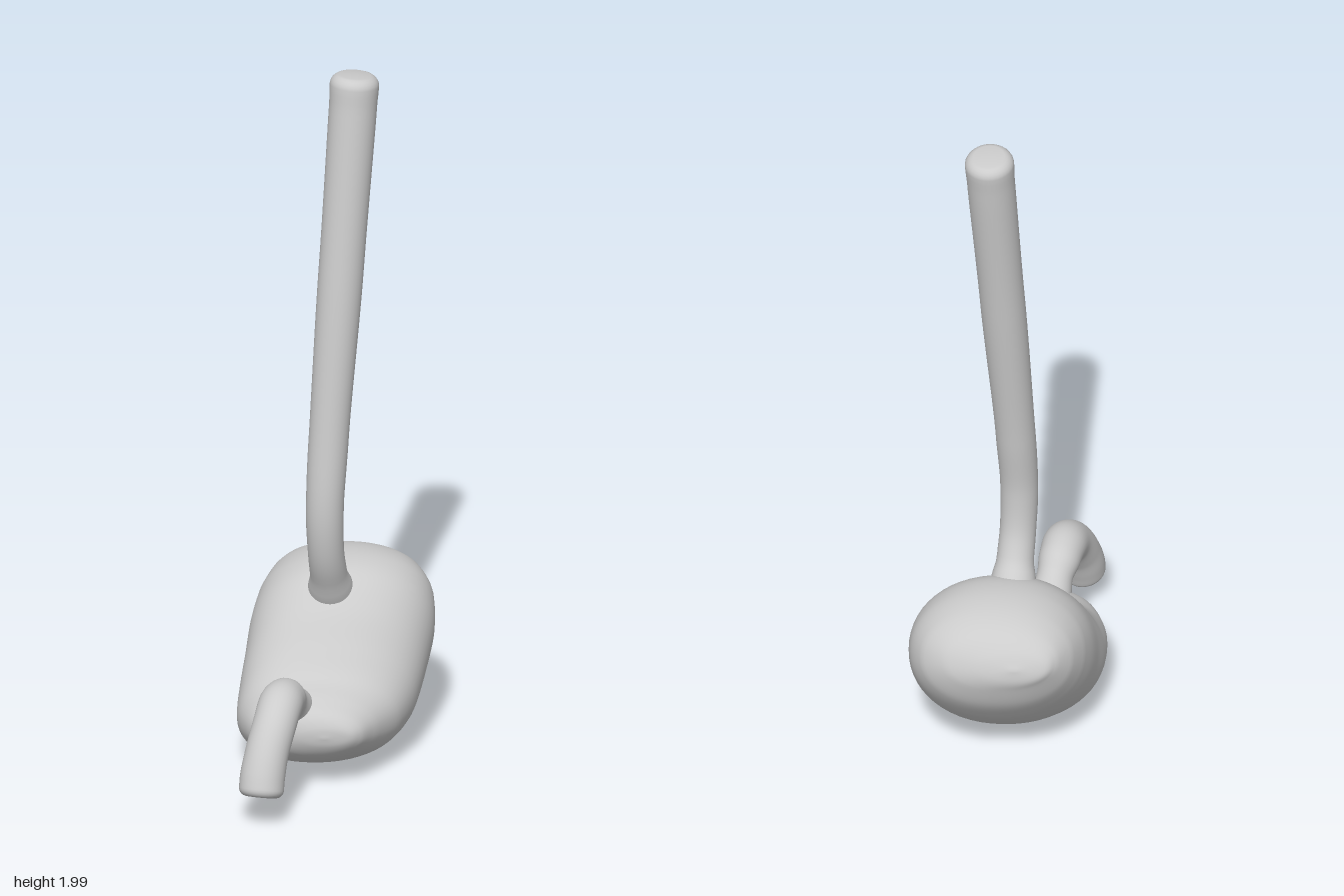
import * as THREE from 'three';
import { mergeVertices } from 'three/addons/utils/BufferGeometryUtils.js';

const V = (x, y, z) => new THREE.Vector3(x, y, z);
const material = new THREE.MeshStandardMaterial({ color: 0xcccccc });

// Skin a list of closed rings (equal point counts) with smooth normals
function skin(name, rings) {
  const m = rings[0].length, index = [];
  for (let i = 0; i < rings.length - 1; i++) {
    for (let j = 0; j < m; j++) {
      const a = i * m + j, b = i * m + (j + 1) % m;
      index.push(a, b, a + m, b, b + m, a + m);
    }
  }
  let g = new THREE.BufferGeometry().setFromPoints(rings.flat());
  g.setIndex(index);
  g = mergeVertices(g, 1e-5);
  g.computeVertexNormals();
  const mesh = new THREE.Mesh(g, material);
  mesh.name = name;
  return mesh;
}

// Tube of varying radius with a rounded, slightly domed far end; keys are [x, y, z, radius]
function organTube(name, keys, steps, bevel, sides = 32) {
  const curve = new THREE.CatmullRomCurve3(keys.map(k => V(k[0], k[1], k[2])));
  const frames = curve.computeFrenetFrames(steps);
  const rings = [];
  const ring = (p, r, i) => {
    const pts = [];
    for (let j = 0; j < sides; j++) {
      const a = j / sides * Math.PI * 2;
      pts.push(p.clone()
        .addScaledVector(frames.normals[i], r * Math.cos(a))
        .addScaledVector(frames.binormals[i], r * Math.sin(a)));
    }
    rings.push(pts);
  };
  for (let i = 0; i <= steps; i++) {
    const t = curve.getUtoTmapping(i / steps), s = t * (keys.length - 1);
    const k = Math.min(Math.floor(s), keys.length - 2);
    const r = THREE.MathUtils.lerp(keys[k][3], keys[k + 1][3], THREE.MathUtils.smoothstep(s - k, 0, 1));
    ring(curve.getPoint(t), r, i);
  }
  // rounded rim, then the closed end
  const end = curve.getPoint(1), dir = frames.tangents[steps], r = keys[keys.length - 1][3];
  for (let q = 1; q <= 5; q++) {
    const a = q / 5 * 1.4;
    ring(end.clone().addScaledVector(dir, bevel * Math.sin(a)), r - bevel + bevel * Math.cos(a), steps);
  }
  ring(end.clone().addScaledVector(dir, bevel * 1.08), 0, steps);
  return skin(name, rings);
}

// Pouch lofted from tilted sections: [upper z, upper y, lower z, lower y, min x, max x]
function pouch() {
  const keys = [
    [0.202, 0.175, 0.202, 0.175, -0.03, -0.03],
    [0.198, 0.205, 0.195, 0.145, -0.10, 0.04],
    [0.18, 0.235, 0.17, 0.108, -0.175, 0.075],
    [0.13, 0.265, 0.11, 0.065, -0.24, 0.115],
    [0.06, 0.295, 0.0, 0.02, -0.27, 0.175],
    [0.0, 0.36, -0.12, 0.01, -0.266, 0.22],
    [-0.07, 0.45, -0.22, 0.06, -0.25, 0.25],
    [-0.15, 0.515, -0.31, 0.13, -0.235, 0.27],
    [-0.23, 0.535, -0.38, 0.21, -0.213, 0.267],
    [-0.32, 0.53, -0.43, 0.28, -0.18, 0.235],
    [-0.39, 0.505, -0.457, 0.35, -0.14, 0.17],
    [-0.435, 0.467, -0.466, 0.385, -0.105, 0.08],
    [-0.462, 0.425, -0.462, 0.425, -0.02, -0.02],
  ];
  const upper = new THREE.CatmullRomCurve3(keys.map(k => V(0, k[1], k[0])));
  const lower = new THREE.CatmullRomCurve3(keys.map(k => V(0, k[3], k[2])));
  const width = new THREE.CatmullRomCurve3(keys.map(k => V(k[4], k[5], 0)));
  const n = 72, sides = 56, rings = [];
  const soft = v => Math.sign(v) * Math.abs(v) ** 0.93;
  for (let i = 0; i <= n; i++) {
    const t = i / n, u = upper.getPoint(t), l = lower.getPoint(t), w = width.getPoint(t);
    const mid = u.clone().add(l).multiplyScalar(0.5), half = u.clone().sub(mid);
    mid.x = (w.x + w.y) / 2;
    const pts = [];
    for (let j = 0; j < sides; j++) {
      const a = j / sides * Math.PI * 2;
      const p = mid.clone().addScaledVector(half, soft(Math.cos(a)));
      p.x += (w.y - w.x) / 2 * soft(Math.sin(a));
      pts.push(p);
    }
    rings.push(pts);
  }
  return skin('stomachPouch', rings);
}

export function createModel() {
  const group = new THREE.Group();
  group.name = 'stomach';
  group.add(pouch());

  // long upper tube, flared where it enters the pouch
  group.add(organTube('esophagus', [
    [-0.01, 0.43, -0.17, 0.09],
    [-0.015, 0.485, -0.13, 0.062],
    [-0.02, 0.54, -0.097, 0.051],
    [-0.027, 0.62, -0.066, 0.05],
    [-0.03, 0.75, -0.052, 0.052],
    [-0.02, 0.95, -0.07, 0.055],
    [0.015, 1.45, -0.128, 0.062],
    [0.046, 1.9, -0.183, 0.066],
    [0.05, 1.965, -0.19, 0.068],
  ], 80, 0.03));

  // short outlet that arches forward and hangs down
  group.add(organTube('duodenum', [
    [-0.10, 0.20, 0.08, 0.08],
    [-0.115, 0.24, 0.13, 0.056],
    [-0.125, 0.272, 0.17, 0.05],
    [-0.138, 0.3, 0.215, 0.058],
    [-0.15, 0.304, 0.27, 0.061],
    [-0.165, 0.272, 0.328, 0.06],
    [-0.185, 0.21, 0.375, 0.06],
    [-0.197, 0.15, 0.403, 0.062],
    [-0.2, 0.118, 0.415, 0.062],
  ], 48, 0.022));

  return group;
}
